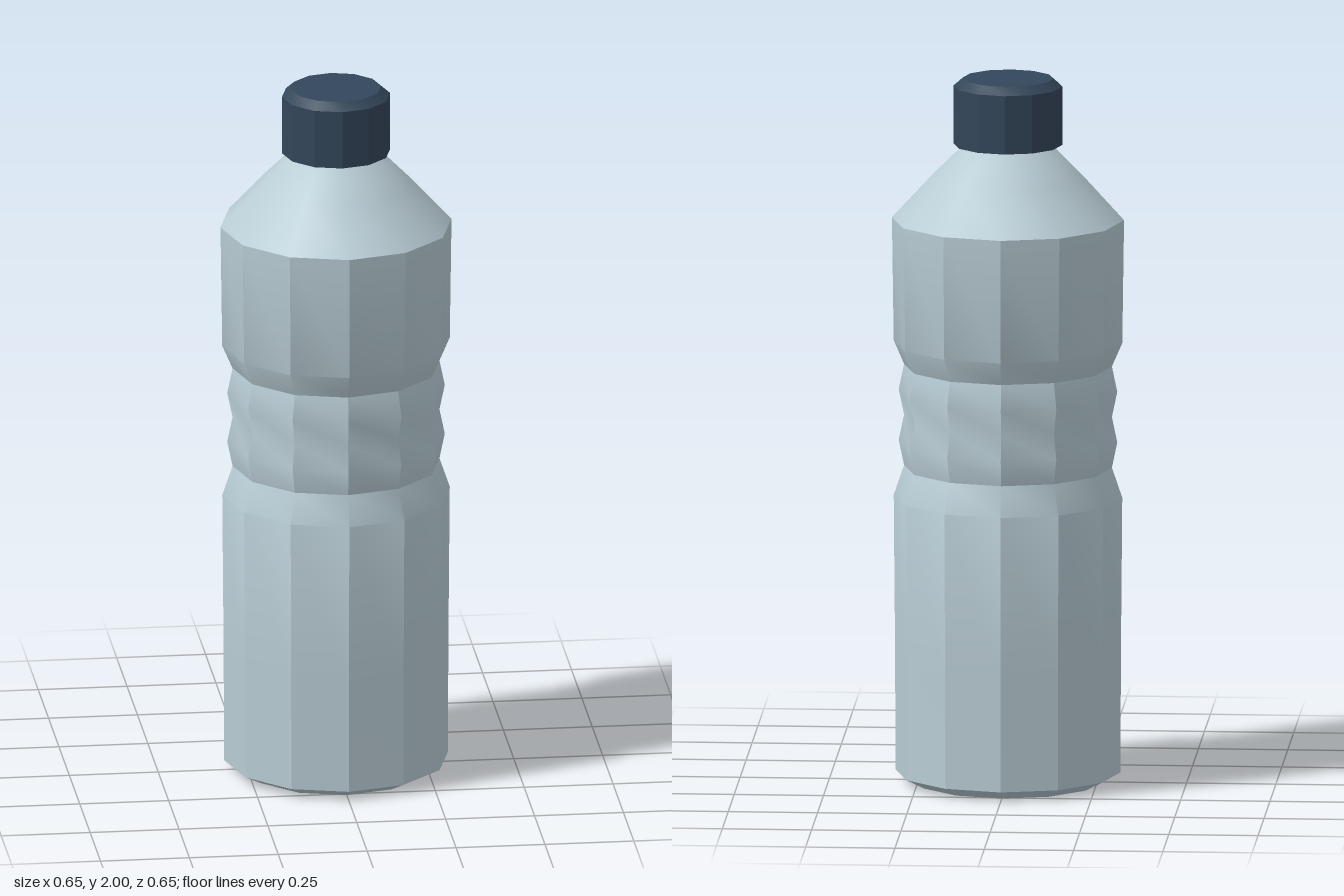
import * as THREE from 'three';
import { toCreasedNormals } from 'three/addons/utils/BufferGeometryUtils.js';

const SIDES = 12;

// Twelve-sided turned part: facets stay crisp, gentle bends along the profile stay smooth
function turned(name, profile, color) {
  const points = profile.map(([r, y]) => new THREE.Vector2(r, y));
  const geometry = toCreasedNormals(new THREE.LatheGeometry(points, SIDES), 0.5);
  const material = new THREE.MeshStandardMaterial({ color, side: THREE.DoubleSide });
  const mesh = new THREE.Mesh(geometry, material);
  mesh.name = name;
  return mesh;
}

export function createModel() {
  const group = new THREE.Group();
  group.name = 'bottle';

  // Grip: alternating grooves and ridges around the middle
  const grip = [];
  for (let i = 0; i < 5; i++) grip.push([i % 2 ? 0.306 : 0.291, 0.895 + i * 0.072]);

  group.add(turned('bottleBody', [
    [0, 0.02], [0.09, 0.02], [0.15, 0.01], [0.26, 0],      // dished base
    [0.315, 0.028], [0.316, 0.35], [0.32, 0.81],           // lower wall
    ...grip,
    [0.32, 1.25], [0.325, 1.6],                            // upper wall
    [0.215, 1.72], [0.15, 1.785], [0.115, 1.81],           // shoulder
    [0.115, 1.9],                                          // neck, inside the cap
  ], 0xb8ccd4));

  group.add(turned('cap', [
    [0.11, 1.812], [0.152, 1.812], [0.152, 1.978], [0.127, 2], [0, 2],
  ], 0x33465a));

  return group;
}
